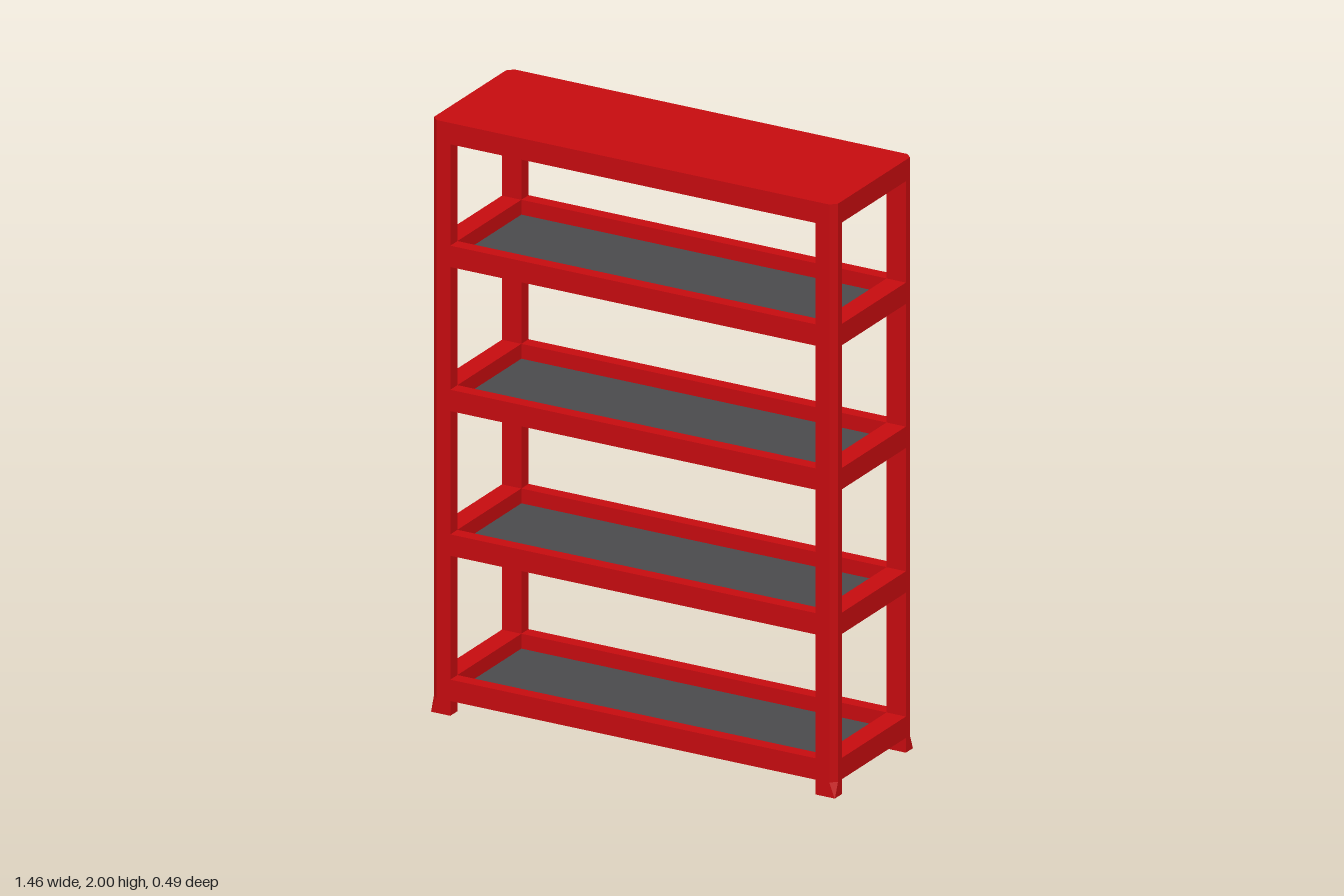
import * as THREE from 'three';

const HX = 0.73, HZ = 0.245;       // half width and half depth
const PX = 0.07, PZ = 0.045;       // post section, also the rim widths
const C = 0.02;                    // corner chamfer
const RAIL = 0.072;                // rail height

const red = new THREE.MeshStandardMaterial({ color: 0xc60b0f, flatShading: true });
const grey = new THREE.MeshStandardMaterial({ color: 0x4a4a4d, flatShading: true });

// Extrudes a plan shape upwards from y0 to y1
function extrudeUp(shape, y0, y1) {
  const geo = new THREE.ExtrudeGeometry(shape, { depth: y1 - y0, bevelEnabled: false });
  geo.rotateX(-Math.PI / 2);
  geo.translate(0, y0, 0);
  return geo;
}

function polygon(points) {
  return new THREE.Shape(points.map(([x, z]) => new THREE.Vector2(x, z)));
}

// Rack outline with its four corners cut off
function outline() {
  return polygon([
    [HX - C, -HZ], [HX, -HZ + C], [HX, HZ - C], [HX - C, HZ],
    [-HX + C, HZ], [-HX, HZ - C], [-HX, -HZ + C], [-HX + C, -HZ],
  ]);
}

function add(group, name, geometry, material) {
  const mesh = new THREE.Mesh(geometry, material);
  mesh.name = name;
  group.add(mesh);
  return mesh;
}

// Corner post section; sx and sz pick the corner
function postShape(sx, sz, cut) {
  const pts = [[HX - PX, HZ - PZ], [HX, HZ - PZ], [HX, HZ - cut], [HX - cut, HZ], [HX - PX, HZ]]
    .map(([x, z]) => [x * sx, z * sz]);
  return polygon(pts);
}

// Foot: square at the floor, narrowing at its top to the chamfered post
function footGeometry(sx, sz) {
  const geo = extrudeUp(postShape(sx, sz, 0.001), 0, 0.05);
  const p = geo.attributes.position;
  for (let i = 0; i < p.count; i++) {
    if (p.getY(i) < 0.025) continue;
    const x = Math.abs(p.getX(i)), z = Math.abs(p.getZ(i));
    if (x > HX - 0.002 && z > HZ - 0.002) {
      if (x > HX - 0.0005) p.setZ(i, Math.sign(p.getZ(i)) * (HZ - C));
      else p.setX(i, Math.sign(p.getX(i)) * (HX - C));
    }
  }
  geo.computeVertexNormals();
  return geo;
}

export function createModel() {
  const rack = new THREE.Group();
  rack.name = 'shelvingRack';

  // Four posts with feet
  for (const sx of [-1, 1]) {
    for (const sz of [-1, 1]) {
      const post = new THREE.Group();
      post.name = 'cornerPost';
      add(post, 'post', extrudeUp(postShape(sx, sz, C), 0.05, 2), red);
      add(post, 'foot', footGeometry(sx, sz), red);
      rack.add(post);
    }
  }

  // Five shelves: a rail frame around a sunken panel
  for (const top of [0.122, 0.612, 1.1, 1.586, 2]) {
    const shelf = new THREE.Group();
    shelf.name = 'shelf';
    const frame = outline();
    const ix = HX - PX, iz = HZ - PZ;
    frame.holes.push(polygon([[-ix, -iz], [-ix, iz], [ix, iz], [ix, -iz]]));
    add(shelf, 'railFrame', extrudeUp(frame, top - RAIL, top), red);
    add(shelf, 'panel', new THREE.BoxGeometry(2 * ix, 0.01, 2 * iz), grey)
      .position.y = top - RAIL + 0.017;
    rack.add(shelf);
  }

  // Closed cover over the top shelf
  const cover = new THREE.BoxGeometry(2 * (HX - PX), 0.012, 2 * (HZ - PZ));
  add(rack, 'topCover', cover, red).position.y = 2 - 0.006;

  return rack;
}
